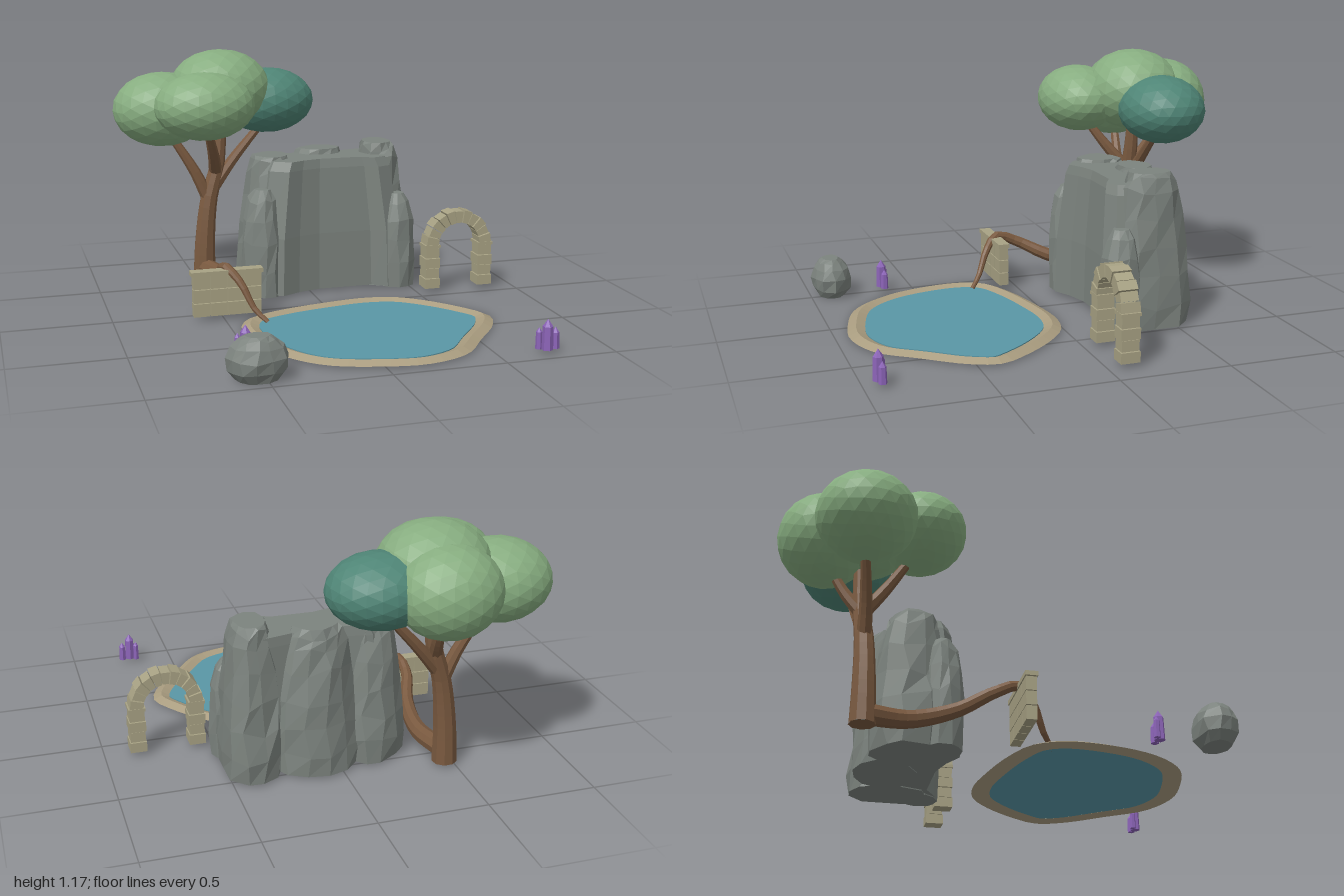
import * as THREE from 'three';

const mat = (name, color, flatShading = true) => {
  const m = new THREE.MeshStandardMaterial({ color, flatShading });
  m.name = name;
  return m;
};

// Skin a stack of equal-sized rings (ordered right, front, left, back); optional flat caps
function loft(rings, caps = true) {
  const n = rings[0].length, pos = [], idx = [];
  rings.forEach(r => r.forEach(p => pos.push(...p)));
  for (let i = 0; i < rings.length - 1; i++) for (let j = 0; j < n; j++) {
    const a = i * n + j, b = i * n + (j + 1) % n;
    idx.push(a, a + n, b, b, a + n, b + n);
  }
  if (caps) [0, rings.length - 1].forEach(k => {
    const c = [0, 1, 2].map(d => rings[k].reduce((s, p) => s + p[d], 0) / n);
    const ci = pos.length / 3;
    pos.push(...c);
    for (let j = 0; j < n; j++) {
      const a = k * n + j, b = k * n + (j + 1) % n;
      if (k === 0) idx.push(ci, a, b); else idx.push(ci, b, a);
    }
  });
  const g = new THREE.BufferGeometry();
  g.setAttribute('position', new THREE.Float32BufferAttribute(pos, 3));
  g.setIndex(idx);
  g.computeVertexNormals();
  return g;
}

// Tube along a curve with a radius that tapers from r0 to r1
function limb(points, r0, r1, n = 14, sides = 9) {
  const curve = new THREE.CatmullRomCurve3(points.map(p => new THREE.Vector3(...p)));
  const g = new THREE.TubeGeometry(curve, n, 1, sides);
  const p = g.attributes.position, v = new THREE.Vector3();
  for (let i = 0; i <= n; i++) {
    const c = curve.getPointAt(i / n), r = r0 + (r1 - r0) * i / n;
    for (let j = 0; j <= sides; j++) {
      const k = i * (sides + 1) + j;
      v.fromBufferAttribute(p, k).sub(c).multiplyScalar(r).add(c);
      p.setXYZ(k, v.x, v.y, v.z);
    }
  }
  g.computeVertexNormals();
  return g;
}

// Craggy tapering column: profile is a list of [height fraction, radius fraction]
function crag(x, z, rx, rz, y0, h, profile, seed, sides = 11) {
  let s = seed;
  const rnd = () => (s = (s * 16807) % 2147483647) / 2147483647 - 0.5;
  for (let i = 0; i < 5; i++) rnd();
  const ridge = Array.from({ length: sides }, () => 0.95 + rnd() * 0.16);
  return loft(profile.map(([t, r], i) => ridge.map((k, j) => {
    const a = (j + rnd() * 0.4) / sides * Math.PI * 2;
    const q = r * (k + rnd() * 0.11);
    const dy = i > 0 && i < profile.length - 1 ? rnd() * 0.07 * h : 0;
    return [x + Math.cos(a) * rx * q, y0 + t * h + dy, z + Math.sin(a) * rz * q];
  })));
}

export function createModel() {
  const M = {
    leaf: mat('leaf green', 0x87ad80),
    teal: mat('dark leaf', 0x4f8576),
    bark: mat('bark', 0x79593f),
    rock: mat('grey rock', 0x7c837e),
    stone: mat('cut stone', 0xa8a284),
    rim: mat('sandy rim', 0xaa9d80),
    water: mat('water', 0x5a97a6),
    crystal: mat('purple crystal', 0x8c64b8),
  };
  const root = new THREE.Group();
  const add = (name, geo, material, parent = root) => {
    const m = new THREE.Mesh(geo, material);
    m.name = name;
    parent.add(m);
    return m;
  };
  const group = name => {
    const g = new THREE.Group();
    g.name = name;
    root.add(g);
    return g;
  };

  // Pool: tent-shaped rim around a thin water disc
  const pool = group('pool');
  const shore = new THREE.CatmullRomCurve3([
    [-0.235, 0.06], [-0.02, 0.01], [0.19, -0.015], [0.35, 0.015], [0.48, 0.11], [0.61, 0.265],
    [0.68, 0.4], [0.64, 0.53], [0.505, 0.71], [0.375, 0.87], [0.18, 0.94], [-0.02, 0.915],
    [-0.235, 0.835], [-0.385, 0.66], [-0.46, 0.4], [-0.455, 0.24], [-0.39, 0.13],
  ].map(([x, z]) => new THREE.Vector3(x, 0, z)), true);
  const shoreRing = (inset, y) => Array.from({ length: 56 }, (_, i) => {
    const p = shore.getPointAt(i / 56), t = shore.getTangentAt(i / 56);
    return [p.x - t.z * inset, y, p.z + t.x * inset];
  });
  add('poolRim', loft([shoreRing(0, 0.012), shoreRing(0.04, 0.03), shoreRing(0.085, 0.012),
    shoreRing(0, 0.012)], false), M.rim, pool);
  add('water', loft([shoreRing(0.08, 0.013), shoreRing(0.08, 0.0185)]), M.water, pool);

  // Cliff: recessed wall flanked and backed by craggy columns
  const cliff = group('cliff');
  const plan = [[0.5, -0.35], [0.46, -0.2], [0.38, -0.165], [0.31, -0.215], [0.04, -0.215], [-0.07, -0.185],
    [-0.16, -0.14], [-0.26, -0.2], [-0.28, -0.4], [-0.2, -0.5], [-0.06, -0.47], [0.1, -0.55], [0.24, -0.48], [0.42, -0.52]];
  const wallRing = (y, s) => plan.map(([x, z]) => [0.1 + (x - 0.1) * s, y, -0.37 + (z + 0.37) * s]);
  add('recessedWall', loft([wallRing(0.02, 1), wallRing(0.3, 0.97), wallRing(0.62, 0.84),
    wallRing(0.665, 0.78)]), M.rock, cliff);
  const tall = [[0, 1], [0.15, 1.02], [0.33, 0.99], [0.52, 0.93], [0.72, 0.83], [0.88, 0.72], [0.96, 0.62], [1, 0.52]];
  const low = [[0, 0.96], [0.25, 1], [0.5, 0.98], [0.72, 0.9], [0.9, 0.68], [1, 0.4]];
  add('leftColumn', crag(-0.17, -0.36, 0.165, 0.19, 0.015, 0.665, tall, 11), M.rock, cliff);
  add('leftFrontCrag', crag(-0.235, -0.235, 0.105, 0.1, 0.015, 0.52, low, 23), M.rock, cliff);
  add('rightColumn', crag(0.385, -0.385, 0.145, 0.195, 0.015, 0.705, tall, 37), M.rock, cliff);
  add('rightFrontCrag', crag(0.44, -0.235, 0.095, 0.1, 0.015, 0.465, low, 41), M.rock, cliff);
  add('backColumn', crag(0.1, -0.44, 0.2, 0.16, 0.015, 0.675, tall, 59), M.rock, cliff);

  // Boulder beside the pool
  add('boulder', crag(-0.535, 0.9, 0.13, 0.1, 0.005, 0.185,
    [[0, 0.68], [0.2, 0.94], [0.5, 1], [0.75, 0.86], [0.93, 0.62], [1, 0.42]], 71), M.rock);

  // Tree: trunk, branches, arching root and leaf clumps
  const tree = group('tree');
  add('trunk', limb([[-0.46, 0.02, -0.6], [-0.455, 0.2, -0.6], [-0.43, 0.42, -0.605], [-0.38, 0.6, -0.62],
    [-0.355, 0.85, -0.63]], 0.058, 0.028), M.bark, tree);
  const base = add('trunkBase', new THREE.CircleGeometry(0.058, 9), M.bark, tree);
  base.rotation.x = Math.PI / 2;
  base.position.set(-0.46, 0.021, -0.6);
  [
    [[-0.43, 0.42, -0.605], [-0.5, 0.57, -0.61], [-0.63, 0.78, -0.635]],
    [[-0.42, 0.46, -0.605], [-0.3, 0.61, -0.635], [-0.13, 0.8, -0.66]],
    [[-0.39, 0.56, -0.615], [-0.42, 0.67, -0.52], [-0.47, 0.82, -0.41]],
    [[-0.39, 0.56, -0.615], [-0.37, 0.66, -0.69], [-0.36, 0.8, -0.77]],
  ].forEach(p => add('branch', limb(p, 0.034, 0.018, 8, 8), M.bark, tree));
  add('archingRoot', limb([[-0.46, 0.07, -0.6], [-0.41, 0.08, -0.4], [-0.43, 0.13, -0.2], [-0.485, 0.2, -0.05],
    [-0.48, 0.24, 0.06], [-0.43, 0.18, 0.13], [-0.38, 0.07, 0.185], [-0.33, 0.02, 0.235]], 0.048, 0.01, 22), M.bark, tree);
  // centre x, y, z then radii
  [
    ['leftLeaves', -0.65, 0.885, -0.635, 0.245, 0.185, 0.22, M.leaf],
    ['frontLeaves', -0.485, 0.925, -0.38, 0.245, 0.165, 0.2, M.leaf],
    ['crownLeaves', -0.36, 0.975, -0.625, 0.255, 0.2, 0.24, M.leaf],
    ['backLeaves', -0.365, 0.915, -0.79, 0.235, 0.205, 0.21, M.leaf],
    ['darkLeaves', -0.112, 0.907, -0.67, 0.242, 0.165, 0.207, M.teal],
  ].forEach(([name, x, y, z, rx, ry, rz, m]) =>
    add(name, new THREE.IcosahedronGeometry(1, 3).scale(rx, ry, rz).translate(x, y, z), m, tree));

  // Ruined wall of stone blocks with a cap slab
  const box = (name, w, h, d, x, y, z, parent) => {
    const m = add(name, new THREE.BoxGeometry(w, h, d), M.stone, parent);
    m.position.set(x, y, z);
    return m;
  };
  const wall = group('ruinedWall');
  for (let r = 0; r < 3; r++) for (let c = 0; c < 4; c++)
    box('wallBlock', 0.076, 0.061, 0.046, -0.604 + c * 0.08, 0.055 + r * 0.065, 0.07, wall);
  box('wallCap', 0.335, 0.02, 0.055, -0.485, 0.226, 0.07, wall);

  // Stone arch: two stacked legs and a ring of wedge blocks
  const arch = group('stoneArch');
  const cx = 0.71, cz = -0.095, springY = 0.24;
  for (const s of [-1, 1]) {
    for (let i = 0; i < 4; i++)
      box('legBlock', i % 2 ? 0.068 : 0.076, 0.048, i % 2 ? 0.08 : 0.088, cx + s * 0.137, 0.048 + i * 0.051, cz, arch);
    box('legCap', 0.078, 0.015, 0.09, cx + s * 0.137, 0.234, cz, arch);
  }
  const count = 11, step = Math.PI / count;
  for (let i = 0; i < count; i++) {
    const a0 = i * step + 0.015, a1 = (i + 1) * step - 0.015, ro = i % 2 ? 0.164 : 0.169;
    const s = new THREE.Shape([[0.107, a0], [ro, a0], [ro, a1], [0.107, a1]]
      .map(([r, a]) => new THREE.Vector2(r * Math.cos(a), r * Math.sin(a))));
    const d = i % 2 ? 0.08 : 0.088;
    const m = add('archBlock', new THREE.ExtrudeGeometry(s, { depth: d, bevelEnabled: false }), M.stone, arch);
    m.position.set(cx, springY, cz - d / 2);
  }

  // Crystal clusters: hexagonal shafts with pointed tips
  for (const [x, z] of [[0.712, 0.93], [-0.528, 0.648]]) {
    const cluster = group('crystalCluster');
    [[0, 0, 0.025, 0.135], [-0.03, -0.02, 0.015, 0.095], [0.04, -0.008, 0.018, 0.095]].forEach(([dx, dz, r, h]) => {
      const tip = r * 1.3;
      const shaft = add('crystalShaft', new THREE.CylinderGeometry(r * 0.9, r, h - tip, 6), M.crystal, cluster);
      shaft.position.set(x + dx, 0.02 + (h - tip) / 2, z + dz);
      const point = add('crystalTip', new THREE.ConeGeometry(r * 0.9, tip, 6), M.crystal, cluster);
      point.position.set(x + dx, 0.02 + h - tip / 2, z + dz);
    });
  }
  return root;
}
